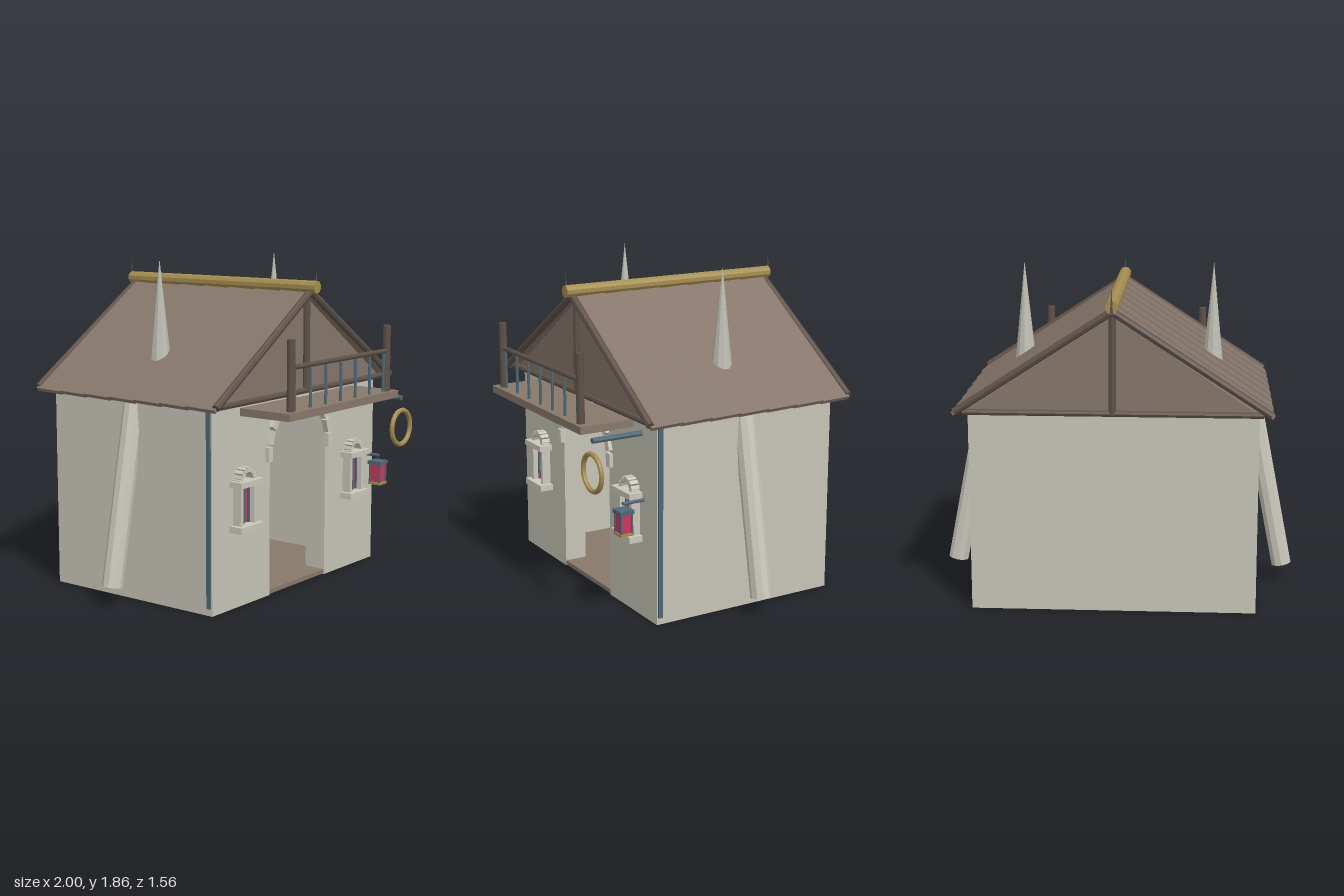
import * as THREE from 'three';

const mat = (color) => new THREE.MeshStandardMaterial({ color, flatShading: true });
const M = {
  wall: mat(0xc6c4b6), stone: mat(0xcbc7bc), horn: mat(0xbfbfb4), wood: mat(0x88786b),
  plank: mat(0x85756a), dark: mat(0x5e5148), gold: mat(0xa58d50), blue: mat(0x4f6774), pink: mat(0xc9385c),
};

function add(parent, name, geo, m, x = 0, y = 0, z = 0) {
  const mesh = new THREE.Mesh(geo, m);
  mesh.name = name;
  mesh.position.set(x, y, z);
  parent.add(mesh);
  return mesh;
}

// Box given by its min and max corners
function box(parent, name, m, x0, x1, y0, y1, z0, z1) {
  return add(parent, name, new THREE.BoxGeometry(x1 - x0, y1 - y0, z1 - z0), m,
    (x0 + x1) / 2, (y0 + y1) / 2, (z0 + z1) / 2);
}

// Round bar from point a to point b
function bar(parent, name, m, a, b, r0, r1 = r0, sides = 10) {
  const A = new THREE.Vector3(...a), B = new THREE.Vector3(...b);
  const d = B.clone().sub(A);
  const mesh = add(parent, name, new THREE.CylinderGeometry(r1, r0, d.length(), sides), m);
  mesh.position.copy(A).add(B).multiplyScalar(0.5);
  mesh.quaternion.setFromUnitVectors(new THREE.Vector3(0, 1, 0), d.normalize());
  return mesh;
}

// Half ring of stone blocks
function stoneArch(parent, name, cx, cy, z, r, n, w, h, d) {
  const g = new THREE.Group();
  g.name = name;
  for (let i = 0; i < n; i++) {
    const a = (i / (n - 1)) * Math.PI;
    add(g, 'archStone', new THREE.BoxGeometry(w, h, d), M.stone,
      cx + r * Math.cos(a), cy + r * Math.sin(a), z).rotation.z = a;
  }
  parent.add(g);
}

function extrude(points, depth) {
  const s = new THREE.Shape(points.map(([x, y]) => new THREE.Vector2(x, y)));
  return new THREE.ExtrudeGeometry(s, { depth, bevelEnabled: false });
}

function buildWalls(g) {
  const front = [[-0.78, 0], [-0.27, 0], [-0.27, 1.01], [0.27, 1.01], [0.27, 0], [0.78, 0], [0.78, 1.12], [-0.78, 1.12]];
  add(g, 'frontWall', extrude(front, 0.13), M.wall, 0, 0, 0.33);
  box(g, 'backWall', M.wall, -0.78, 0.78, 0, 1.12, -0.66, -0.53);
  for (const s of [-1, 1]) {
    add(g, 'sideWall', new THREE.BoxGeometry(0.13, 1.12, 0.86), M.wall, s * 0.715, 0.56, -0.1);
    add(g, 'cornerPost', new THREE.BoxGeometry(0.02, 1.07, 0.025), M.blue, s * 0.78, 0.575, 0.44);
    add(g, 'wallPlate', new THREE.BoxGeometry(0.02, 0.015, 1.12), M.blue, s * 0.78, 1.117, -0.1);
    // Leaning buttress on each side
    bar(g, 'buttress', M.stone, [s * 0.945, 0.103, -0.1], [s * 0.745, 1.12, -0.1], 0.058, 0.058, 10);
  }
  box(g, 'floor', M.wood, -0.65, 0.65, 0.005, 0.03, -0.53, 0.33);
  box(g, 'threshold', M.wood, -0.27, 0.27, 0.005, 0.03, 0.33, 0.458);
  stoneArch(g, 'doorArch', 0, 0.8, 0.465, 0.29, 11, 0.04, 0.078, 0.035);
}

function buildRoof(g) {
  const ridgeY = 1.69, eaveX = 0.85, eaveY = 1.13, zc = -0.1;
  add(g, 'gable', extrude([[-0.78, 1.12], [0.78, 1.12], [0, 1.65]], 1.2), M.plank, 0, 0, zc - 0.6);
  const len = Math.hypot(eaveX, ridgeY - eaveY), tilt = Math.atan2(ridgeY - eaveY, eaveX);
  for (const s of [-1, 1]) {
    // Roof slope made of boards side by side, each tipped a little over the next
    const slope = new THREE.Group();
    slope.name = 'roofSlope';
    slope.position.set(s * eaveX / 2, (ridgeY + eaveY) / 2 - 0.015, zc);
    slope.rotation.z = -s * tilt;
    for (let i = 0; i < 7; i++)
      add(slope, 'roofBoard', new THREE.BoxGeometry(len, 0.022, 0.188), M.plank, 0, 0, (i - 3) * 0.18).rotation.x = 0.04;
    g.add(slope);
    for (const e of [-1, 1])
      bar(g, 'bargeBoard', M.dark, [0, 1.675, zc + e * 0.635], [s * 0.84, 1.13, zc + e * 0.635], 0.021, 0.021, 8);
    // Tall horn standing on the slope
    add(g, 'roofHorn', new THREE.ConeGeometry(0.06, 0.57, 10), M.horn, s * 0.53, 1.57, zc);
  }
  for (const e of [-1, 1]) {
    const z = zc + e * 0.61;
    bar(g, 'kingPost', M.dark, [0, 1.12, z], [0, 1.68, z], 0.02, 0.02, 8);
    bar(g, 'tieBeam', M.dark, [-0.8, 1.125, z], [0.8, 1.125, z], 0.017, 0.017, 8);
    add(g, 'finial', new THREE.ConeGeometry(0.009, 0.14, 6), M.dark, 0, 1.74, zc + e * 0.672);
  }
  bar(g, 'ridgePole', M.gold, [0, 1.7, zc - 0.67], [0, 1.7, zc + 0.68], 0.035, 0.035, 10);
}

function buildBalcony(g) {
  box(g, 'balconyFloor', M.wood, -0.54, 0.54, 1.045, 1.087, 0.45, 0.78);
  const z = 0.74;
  for (const s of [-1, 1])
    bar(g, 'railPost', M.dark, [s * 0.47, 1.08, z], [s * 0.47, 1.465, z], 0.022);
  bar(g, 'handRail', M.dark, [-0.47, 1.318, z], [0.47, 1.318, z], 0.014, 0.014, 8);
  for (let i = -3; i <= 3; i++)
    bar(g, 'baluster', M.blue, [i * 0.146, 1.085, z], [i * 0.146, 1.318, z], 0.009, 0.009, 6);
}

function buildWindow(cx) {
  const w = new THREE.Group();
  w.name = 'window';
  w.position.x = cx;
  box(w, 'pane', M.pink, -0.05, 0.05, 0.46, 0.675, 0.455, 0.47);
  for (const x of [-0.045, 0, 0.045])
    add(w, 'windowBar', new THREE.BoxGeometry(x ? 0.008 : 0.016, 0.215, 0.02), M.blue, x, 0.567, 0.472);
  for (const s of [-1, 1])
    add(w, 'windowJamb', new THREE.BoxGeometry(0.023, 0.22, 0.055), M.stone, s * 0.06, 0.567, 0.485);
  box(w, 'windowSill', M.stone, -0.1, 0.1, 0.427, 0.462, 0.45, 0.54);
  box(w, 'windowLintel', M.stone, -0.1, 0.1, 0.673, 0.705, 0.45, 0.54);
  stoneArch(w, 'windowArch', 0, 0.7, 0.485, 0.06, 9, 0.028, 0.021, 0.05);
  return w;
}

function buildSignAndLantern(g) {
  bar(g, 'signBracket', M.blue, [0.62, 1.03, 0.45], [0.62, 1.03, 0.755], 0.016, 0.016, 8);
  add(g, 'ringSign', new THREE.TorusGeometry(0.1, 0.014, 8, 36), M.gold, 0.62, 0.857, 0.755);

  const lantern = new THREE.Group();
  lantern.name = 'lantern';
  lantern.position.set(0.645, 0, 0.585);
  bar(lantern, 'lanternBracket', M.blue, [0, 0.667, -0.13], [0, 0.667, 0.005], 0.01, 0.01, 8);
  box(lantern, 'lanternRoof', M.blue, -0.043, 0.043, 0.615, 0.636, -0.043, 0.043);
  box(lantern, 'lanternGlass', M.pink, -0.032, 0.032, 0.51, 0.615, -0.032, 0.032);
  box(lantern, 'lanternBase', M.gold, -0.04, 0.04, 0.495, 0.51, -0.04, 0.04);
  for (const x of [-1, 1]) for (const z of [-1, 1])
    add(lantern, 'lanternPost', new THREE.BoxGeometry(0.009, 0.105, 0.009), M.blue, x * 0.033, 0.562, z * 0.033);
  g.add(lantern);
}

function buildTable(g) {
  box(g, 'tableTop', M.wood, -0.42, -0.14, 0.322, 0.355, -0.33, -0.03);
  for (const x of [-0.37, -0.19]) bar(g, 'tableLeg', M.dark, [x, 0.03, -0.18], [x, 0.33, -0.18], 0.02, 0.02, 8);
}

export function createModel() {
  const root = new THREE.Group();
  root.name = 'house';
  const parts = {
    walls: buildWalls, roof: buildRoof, balcony: buildBalcony,
    signAndLantern: buildSignAndLantern, table: buildTable,
  };
  for (const [name, build] of Object.entries(parts)) {
    const g = new THREE.Group();
    g.name = name;
    build(g);
    root.add(g);
  }
  root.add(buildWindow(-0.53), buildWindow(0.53));
  return root;
}
